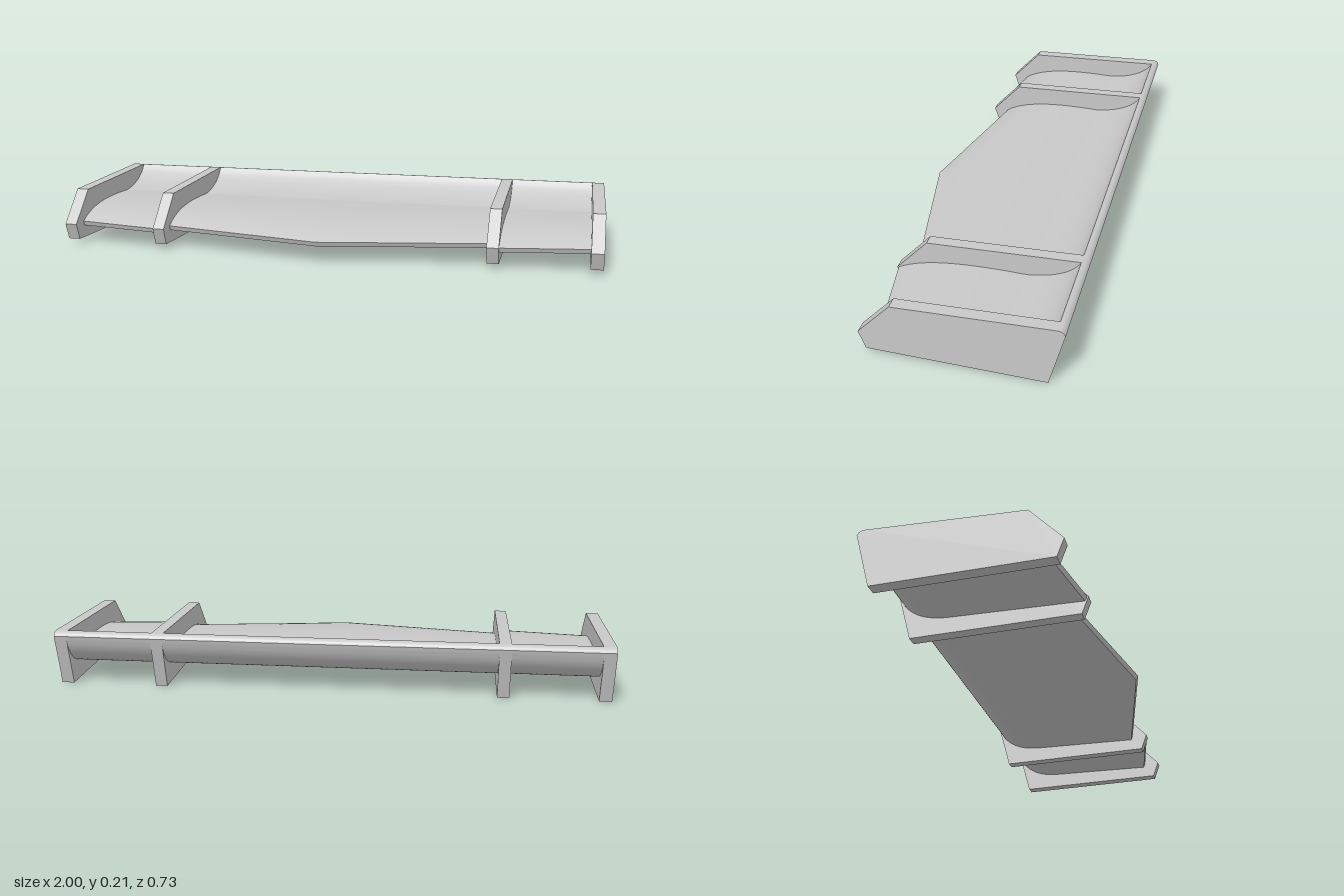
import * as THREE from 'three';
import { toCreasedNormals } from 'three/addons/utils/BufferGeometryUtils.js';

const V = (z, y) => new THREE.Vector2(z, y);
const HINGE = -0.155; // z where the deck turns up into the rear lip
const NOSE = 0.363; // z of the leading edge at the centre

// Closed blade cross-section in (z, y): over the top to the back, then underneath to the front
function bladeSection() {
  const deck = new THREE.CubicBezierCurve(V(NOSE, 0.08), V(0.26, 0.128), V(0.1, 0.138), V(HINGE, 0.127));
  const kick = new THREE.QuadraticBezierCurve(V(HINGE, 0.127), V(-0.295, 0.138), V(-0.337, 0.207));
  const rim = new THREE.QuadraticBezierCurve(V(-0.337, 0.207), V(-0.356, 0.207), V(-0.363, 0.19));
  const back = new THREE.QuadraticBezierCurve(V(-0.363, 0.19), V(-0.332, 0.063), V(-0.175, 0.063));
  return [
    ...deck.getPoints(24),
    ...kick.getPoints(24).slice(1),
    ...rim.getPoints(16).slice(1),
    ...back.getPoints(24).slice(1),
    V(NOSE - 0.008, 0.063),
  ];
}

// Loft the section through stations [x, leading edge z]; only the part ahead of the hinge stretches
function blade(stations) {
  const section = bladeSection();
  const n = section.length;
  const pos = [];
  const index = [];
  for (const [x, lead] of stations) {
    const k = (lead - HINGE) / (NOSE - HINGE);
    for (const p of section) pos.push(x, p.y, p.x > HINGE ? HINGE + (p.x - HINGE) * k : p.x);
  }
  for (let s = 0; s < stations.length - 1; s++) {
    for (let i = 0; i < n; i++) {
      const a = s * n + i;
      const b = s * n + ((i + 1) % n);
      index.push(a, a + n, b, b, a + n, b + n);
    }
  }
  const geo = new THREE.BufferGeometry();
  geo.setAttribute('position', new THREE.Float32BufferAttribute(pos, 3));
  geo.setIndex(index);
  return toCreasedNormals(geo, 0.14);
}

// Upright plate spanning xMin to xMax
function plate(xMin, xMax) {
  const s = new THREE.Shape();
  s.moveTo(0.28, 0.018);
  s.lineTo(0.303, 0.08);
  s.lineTo(0.192, 0.196);
  s.lineTo(-0.337, 0.207);
  s.quadraticCurveTo(-0.356, 0.207, -0.363, 0.19);
  s.lineTo(-0.312, 0);
  s.closePath();
  const geo = new THREE.ExtrudeGeometry(s, { depth: xMax - xMin, bevelEnabled: false, curveSegments: 16 });
  geo.rotateY(-Math.PI / 2);
  geo.translate(xMax, 0, 0);
  return toCreasedNormals(geo, 0.3);
}

export function createModel() {
  const group = new THREE.Group();
  const grey = new THREE.MeshStandardMaterial({ color: 0xc8c8c8 });
  grey.name = 'grey';
  const add = (name, geo) => {
    const mesh = new THREE.Mesh(geo, grey);
    mesh.name = name;
    group.add(mesh);
  };

  // Wing blades
  add('centreBlade', blade([[-0.6, 0.243], [0, NOSE], [0.6, 0.243]]));
  add('leftBlade', blade([[0.643, 0.298], [0.955, 0.243]]));
  add('rightBlade', blade([[-0.955, 0.243], [-0.643, 0.298]]));

  // End plates and inner supports
  add('leftEndPlate', plate(0.955, 1));
  add('rightEndPlate', plate(-1, -0.955));
  add('leftSupport', plate(0.6, 0.643));
  add('rightSupport', plate(-0.643, -0.6));
  return group;
}
